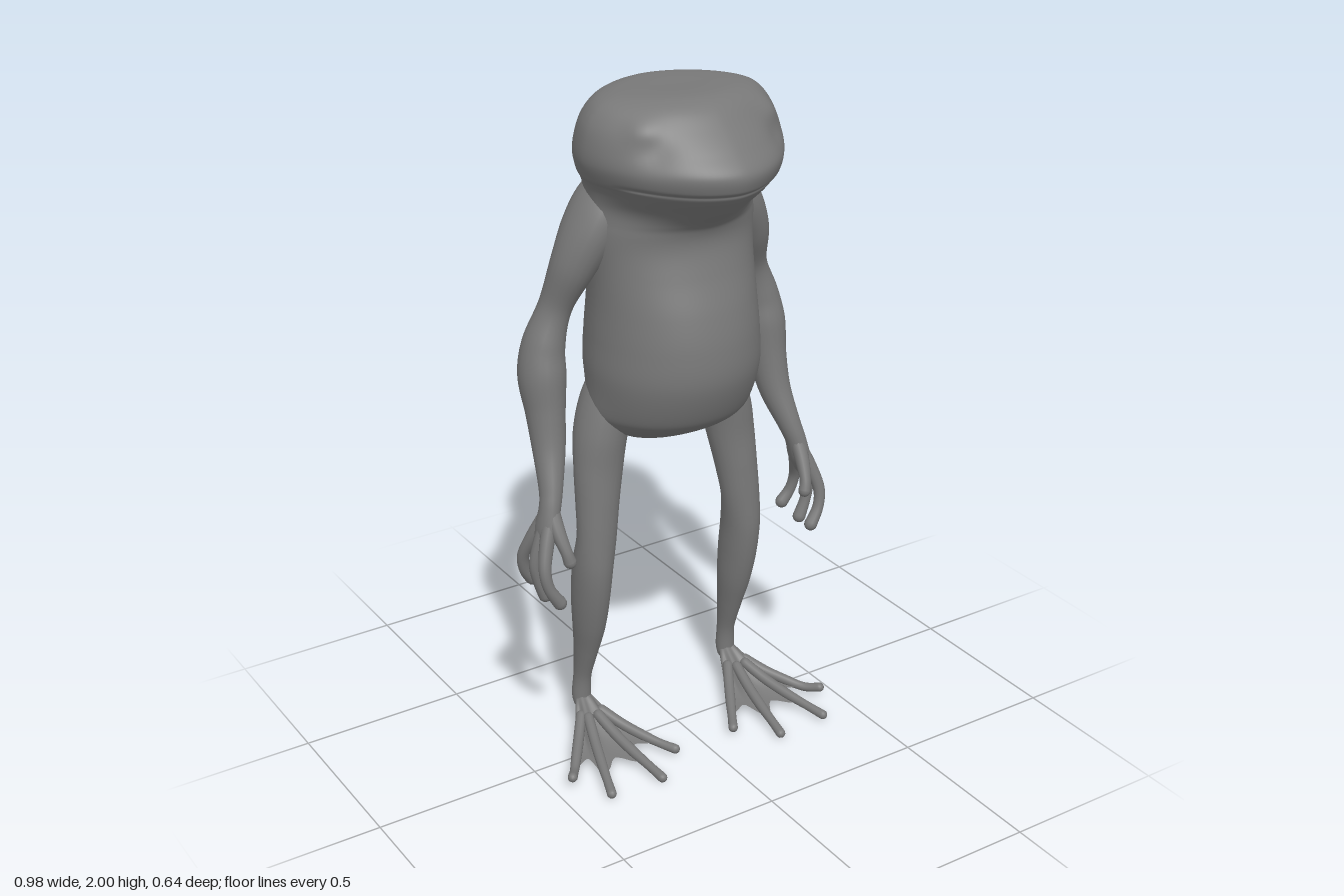
import * as THREE from 'three';

const skin = new THREE.MeshStandardMaterial({ color: 0x787878 });

// Closed smooth skin over a list of rings (each ring runs anticlockwise about the loft direction)
function skinRings(name, rings) {
  const n = rings[0].length, pos = [], idx = [];
  rings.forEach(r => r.forEach(p => pos.push(p.x, p.y, p.z)));
  for (let i = 0; i < rings.length - 1; i++) {
    for (let j = 0; j < n; j++) {
      const k = (j + 1) % n;
      const a = i * n + j, b = i * n + k, c = b + n, d = a + n;
      idx.push(a, b, c, a, c, d);
    }
  }
  const g = new THREE.BufferGeometry();
  g.setAttribute('position', new THREE.Float32BufferAttribute(pos, 3));
  g.setIndex(idx);
  g.computeVertexNormals();
  const mesh = new THREE.Mesh(g, skin);
  mesh.name = name;
  return mesh;
}

// Catmull-Rom interpolation of rows of numbers, t from 0 to 1
function sampleRows(rows, t) {
  const f = t * (rows.length - 1), i = Math.min(Math.floor(f), rows.length - 2), u = f - i;
  const at = k => rows[Math.max(0, Math.min(rows.length - 1, k))];
  return rows[0].map((_, c) => {
    const [p, q, r, s] = [at(i - 1)[c], at(i)[c], at(i + 1)[c], at(i + 2)[c]];
    return q + 0.5 * u * (r - p + u * (2 * p - 5 * q + 4 * r - s + u * (3 * (q - r) + s - p)));
  });
}

// Limb with rounded ends; rows are [x, y, z, radius across, radius deep]
function limb(name, rows, steps = 8, sides = 20) {
  const total = steps * (rows.length - 1), rings = [], caps = 5;
  const ring = (t, shrink, push) => {
    const s = sampleRows(rows, t);
    const lo = sampleRows(rows, Math.max(0, t - 0.01)), hi = sampleRows(rows, Math.min(1, t + 0.01));
    const T = new THREE.Vector3(hi[0] - lo[0], hi[1] - lo[1], hi[2] - lo[2]).normalize();
    const U = new THREE.Vector3(1, 0, 0).addScaledVector(T, -T.x).normalize();
    const V = T.clone().cross(U);
    const c = new THREE.Vector3(s[0], s[1], s[2]).addScaledVector(T, push * Math.min(s[3], s[4]));
    rings.push(Array.from({ length: sides }, (_, j) => {
      const a = j / sides * Math.PI * 2;
      return c.clone().addScaledVector(U, Math.cos(a) * s[3] * shrink).addScaledVector(V, Math.sin(a) * s[4] * shrink);
    }));
  };
  for (let i = 0; i < caps; i++) {
    const a = i / caps * Math.PI / 2;
    ring(0, Math.sin(a) + 1e-4, -Math.cos(a));
  }
  for (let i = 0; i <= total; i++) ring(i / total, 1, 0);
  for (let i = 1; i <= caps; i++) {
    const a = i / caps * Math.PI / 2;
    ring(1, Math.cos(a) + 1e-4, Math.sin(a));
  }
  return skinRings(name, rings);
}

// Head and torso: rows are [y, half width, front z, back z]
function body() {
  const rows = [
    [0.975, 0.001, -0.07, -0.072], [0.98, 0.08, 0.0, -0.15], [1.0, 0.15, 0.06, -0.21],
    [1.05, 0.208, 0.145, -0.265], [1.1, 0.233, 0.185, -0.295], [1.2, 0.25, 0.22, -0.32],
    [1.3, 0.247, 0.22, -0.312], [1.4, 0.242, 0.2, -0.293], [1.5, 0.24, 0.167, -0.282],
    [1.58, 0.237, 0.147, -0.277], [1.63, 0.234, 0.153, -0.277], [1.66, 0.233, 0.178, -0.278],
    [1.7, 0.237, 0.232, -0.28], [1.74, 0.25, 0.277, -0.284], [1.765, 0.264, 0.3, -0.288],
    [1.785, 0.278, 0.317, -0.29], [1.83, 0.293, 0.322, -0.286], [1.88, 0.291, 0.28, -0.267],
    [1.93, 0.277, 0.23, -0.24], [1.97, 0.247, 0.188, -0.205], [1.99, 0.205, 0.15, -0.165],
    [1.998, 0.14, 0.1, -0.115], [1.998, 0.001, 0.001, -0.001],
  ];
  const bump = (p, x, y, z, size) =>
    Math.exp(-((Math.abs(p.x) - x) ** 2 + (p.y - y) ** 2 + (p.z - z) ** 2) / (size * size));
  const total = (rows.length - 1) * 9, sides = 96, rings = [];
  for (let i = 0; i <= total; i++) {
    const [y, w, zf, zb] = sampleRows(rows, i / total);
    const zc = (y < 1.0 ? -0.07 : -0.03 * THREE.MathUtils.smoothstep(1.9 - y, 0, 0.4)) * (y > 1.99 ? 0 : 1);
    // The head is more pointed than the belly, and the chin more than the head
    const front = 1 + 0.14 * THREE.MathUtils.smoothstep(y, 1.62, 1.78) + 0.22 * Math.exp(-(((y - 1.69) / 0.045) ** 2));
    rings.push(Array.from({ length: sides }, (_, j) => {
      const a = j / sides * Math.PI * 2, c = Math.cos(a), s = Math.sin(a);
      const e = c > 0 ? front : 1.13, depth = c > 0 ? zf - zc : zc - zb;
      const p = new THREE.Vector3(
        w * Math.sign(s) * Math.abs(s) ** e, y, zc + depth * Math.sign(c) * Math.abs(c) ** e);
      // Eye mounds, sockets, mouth crease, and swellings where the limbs join
      const crease = y - 1.772 - 0.15 * p.x * p.x;
      const mouth = Math.exp(-((crease / 0.006) ** 2)) * THREE.MathUtils.smoothstep(p.z, 0.08, 0.16);
      const out = 0.014 * bump(p, 0.19, 1.935, 0.14, 0.045) - 0.01 * bump(p, 0.19, 1.885, 0.19, 0.05) - 0.007 * mouth
        + 0.025 * bump(p, 0.23, 1.64, -0.07, 0.1) + 0.025 * bump(p, 0.22, 1.04, -0.08, 0.09);
      const len = Math.hypot(p.x, p.z) || 1;
      p.x += out * p.x / len;
      p.z += out * p.z / len;
      return p;
    }));
  }
  return skinRings('body', rings);
}

function arm() {
  const g = new THREE.Group();
  g.add(limb('arm', [
    [0.12, 1.77, -0.07, 0.05, 0.07], [0.185, 1.69, -0.07, 0.075, 0.095], [0.238, 1.61, -0.07, 0.076, 0.09],
    [0.287, 1.52, -0.078, 0.062, 0.068], [0.325, 1.4, -0.112, 0.047, 0.05], [0.36, 1.29, -0.122, 0.06, 0.064],
    [0.372, 1.2, -0.115, 0.067, 0.073], [0.377, 1.1, -0.092, 0.056, 0.06], [0.386, 1.0, -0.062, 0.047, 0.048],
    [0.408, 0.9, -0.018, 0.034, 0.036], [0.422, 0.85, -0.002, 0.03, 0.034], [0.437, 0.79, 0.0, 0.028, 0.044],
    [0.449, 0.745, 0.0, 0.018, 0.036],
  ]));
  // Thumb, then three curled fingers
  g.add(limb('thumb', [
    [0.422, 0.85, 0.005, 0.023, 0.023], [0.42, 0.79, 0.04, 0.021, 0.021],
    [0.412, 0.74, 0.068, 0.017, 0.017], [0.405, 0.71, 0.075, 0.019, 0.019],
  ], 8, 12));
  [[0.068, 0.437, 0.585], [-0.002, 0.445, 0.58], [-0.087, 0.44, 0.595]].forEach(([z, x, y]) => {
    g.add(limb('finger', [
      [0.43, 0.82, z * 0.2, 0.022, 0.022], [0.456, 0.755, z * 0.5, 0.021, 0.02],
      [0.474, 0.69, z * 0.8, 0.018, 0.017], [0.466, 0.635, z * 0.93, 0.017, 0.017], [x, y, z, 0.02, 0.02],
    ], 8, 12));
  });
  return g;
}

// Webbed sole fanning out from the ankle to scalloped edges between the toes
function web(tips) {
  const profile = [[0.105, 0.028], [0.082, 0.022], [0.055, 0.014], [0.036, 0.008], [0.027, 0.004], [0.025, 0]];
  const steps = 20, sides = 64;
  return skinRings('foot', Array.from({ length: steps + 1 }, (_, i) => {
    const t = i / steps, [h, thick] = sampleRows(profile, t);
    return Array.from({ length: sides }, (_, j) => {
      const a = j / sides * Math.PI * 2, f = (Math.cos(a) + 1) * 1.5;
      const k = Math.min(Math.floor(f), 2), u = f - k;
      const reach = t * (0.6 + 0.17 * Math.cos(Math.PI * f) ** 2);
      const x = THREE.MathUtils.lerp(tips[k][0], tips[k + 1][0], u);
      const z = THREE.MathUtils.lerp(tips[k][2], tips[k + 1][2], u);
      return new THREE.Vector3(
        0.262 + (x - 0.262) * reach + Math.cos(a) * 0.027 * (1 - t), h + Math.sin(a) * thick, -0.12 + (z + 0.12) * reach);
    });
  }));
}

function leg() {
  const g = new THREE.Group();
  g.add(limb('leg', [
    [0.14, 1.2, -0.09, 0.05, 0.07], [0.18, 1.1, -0.085, 0.07, 0.09], [0.212, 1.0, -0.075, 0.076, 0.082],
    [0.228, 0.9, -0.062, 0.073, 0.066], [0.24, 0.8, -0.05, 0.065, 0.06], [0.25, 0.7, -0.04, 0.059, 0.055],
    [0.259, 0.6, -0.05, 0.056, 0.068], [0.26, 0.5, -0.065, 0.053, 0.07], [0.258, 0.4, -0.08, 0.047, 0.06],
    [0.258, 0.3, -0.101, 0.035, 0.045], [0.26, 0.2, -0.122, 0.026, 0.031], [0.262, 0.13, -0.128, 0.029, 0.029],
    [0.262, 0.105, -0.124, 0.028, 0.028],
  ]));
  const tips = [[0.105, 0.02, 0.15], [0.212, 0.015, 0.247], [0.378, 0.016, 0.236], [0.445, 0.034, 0.128]];
  g.add(web(tips));
  // Four toes, buried in the sole at their roots
  tips.forEach(([x, y, z]) => {
    const along = (t, h, r) => [0.262 + (x - 0.262) * t, h, -0.12 + (z + 0.12) * t, r, r];
    g.add(limb('toe', [
      along(0.2, 0.085, 0.016), along(0.42, 0.056, 0.016), along(0.64, 0.037, 0.0155),
      along(0.84, 0.025, 0.0135), along(1, y, 0.0145),
    ], 8, 12));
  });
  return g;
}

// Mirrored copy with the winding reversed
function mirrored(group) {
  const g = group.clone();
  g.children.forEach(m => {
    m.geometry = m.geometry.clone().scale(-1, 1, 1);
    m.geometry.index.array.reverse();
    m.geometry.computeVertexNormals();
  });
  return g;
}

export function createModel() {
  const model = new THREE.Group();
  model.name = 'frogFigure';
  model.add(body());
  for (const [name, part] of [['Arm', arm()], ['Leg', leg()]]) {
    const other = mirrored(part);
    part.name = 'left' + name;
    other.name = 'right' + name;
    model.add(part, other);
  }
  return model;
}
